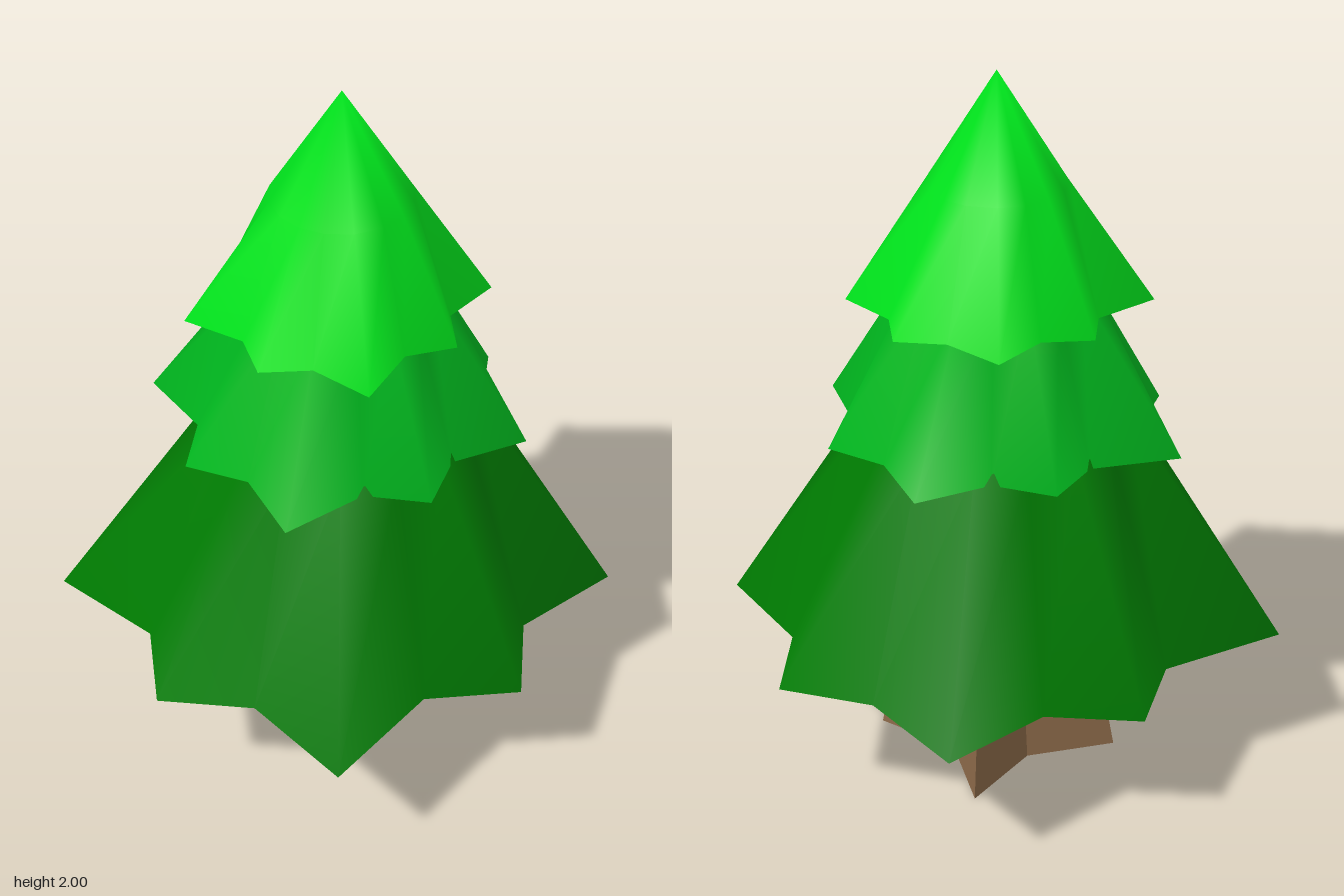
import * as THREE from 'three';

const mat = (name, color) =>
  Object.assign(new THREE.MeshStandardMaterial({ color, side: THREE.DoubleSide }), { name });

// Half outlines as [x, z] with z >= 0, mirrored to full star rings
const mirrorRing = (half) => [
  ...half,
  ...half.filter(([, z]) => z > 0).reverse().map(([x, z]) => [x, -z]),
];
const FOLIAGE = mirrorRing([
  [0.71, 0], [0.545, 0.21], [0.53, 0.55], [0.205, 0.512], [0, 0.682],
  [-0.205, 0.512], [-0.575, 0.55], [-0.55, 0.21], [-0.715, 0],
]);
const TRUNK = mirrorRing([[0.15, 0], [0.241, 0.238], [0, 0.15], [-0.241, 0.238], [-0.15, 0]]);

// Joins star rings from bottom to top; an optional apex closes the top
function loft(rings, apexY) {
  const n = rings[0].length;
  const pos = rings.flat(2);
  const index = [];
  for (let r = 0; r < rings.length - 1; r++) {
    for (let i = 0; i < n; i++) {
      const j = (i + 1) % n;
      const a = r * n + i, b = r * n + j;
      index.push(a, a + n, b, b, a + n, b + n);
    }
  }
  if (apexY !== undefined) {
    const base = (rings.length - 1) * n;
    pos.push(0, apexY, 0);
    for (let i = 0; i < n; i++) index.push(base + i, rings.length * n, base + ((i + 1) % n));
  }
  const geo = new THREE.BufferGeometry();
  geo.setAttribute('position', new THREE.Float32BufferAttribute(pos, 3));
  geo.setIndex(index);
  geo.computeVertexNormals();
  return geo;
}

// Star rim blending into a round shoulder, with smooth normals; only the top tier has a tip
function tierGeometry(apexY) {
  const rim = FOLIAGE.map(([x, z]) => [x, 0, z]);
  const shoulder = FOLIAGE.map(([x, z]) => {
    const k = 0.36 / Math.hypot(x, z);
    return [x * k, 0.64, z * k];
  });
  return loft([rim, shoulder], apexY);
}

// Faceted trunk section, tapering upward
function trunkGeometry(y0, s0, y1, s1) {
  const ring = (y, s) => TRUNK.map(([x, z]) => [x * s, y, z * s]);
  const geo = loft([ring(y0, s0), ring(y1, s1)]).toNonIndexed();
  geo.computeVertexNormals();
  return geo;
}

export function createModel() {
  const tree = new THREE.Group();
  tree.name = 'tree';
  const add = (name, geometry, material) => {
    const mesh = new THREE.Mesh(geometry, material);
    mesh.name = name;
    tree.add(mesh);
    return mesh;
  };

  // Trunk: dark bark below, light wood under the branches
  const trunk = [
    add('lowerTrunk', trunkGeometry(0, 1, 0.4, 0.785), mat('bark brown', 0x8a6848)),
    add('upperTrunk', trunkGeometry(0.4, 0.785, 1.4, 0.26), mat('light wood', 0xd09c53)),
  ];
  for (const part of trunk) part.position.set(0.003, 0, -0.007);

  // Three twisted foliage tiers: name, base height, scale, twist in degrees, tip height, colour
  const tiers = [
    ['lowerFoliage', 0.4, 1, 0, undefined, mat('dark green', 0x007c02)],
    ['middleFoliage', 1.0, 0.671, 15, undefined, mat('medium green', 0x00b61e)],
    ['topFoliage', 1.36, 0.527, -10, 1.214, mat('bright green', 0x00e41c)],
  ];
  for (const [name, y, scale, twist, tip, material] of tiers) {
    const tier = add(name, tierGeometry(tip), material);
    tier.position.y = y;
    tier.scale.setScalar(scale);
    tier.rotation.y = -THREE.MathUtils.degToRad(twist);
  }
  return tree;
}
